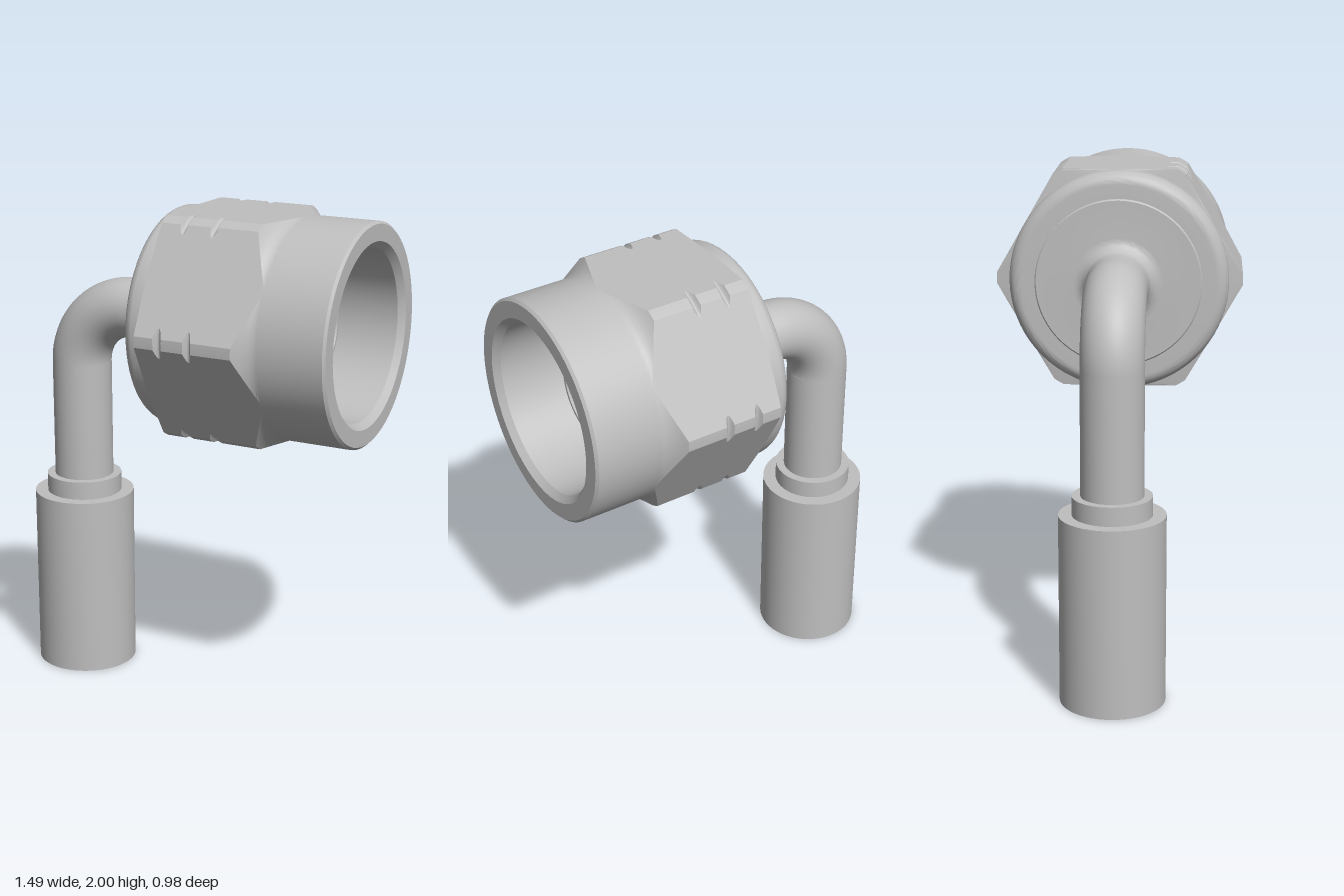
import * as THREE from 'three';
import { toCreasedNormals } from 'three/addons/utils/BufferGeometryUtils.js';

const AXIS_Y = 1.565; // height of the nut axis
const HOSE_X = -0.54; // position of the vertical leg
const TUBE_R = 0.122;
const FLAT = 0.435; // centre to hex flat
const CORNER = 0.49; // radius of the turned hex corners

const steel = new THREE.MeshStandardMaterial({ color: 0xbfbfbf });
steel.name = 'steel grey';

function part(name, geometry) {
  const mesh = new THREE.Mesh(geometry, steel);
  mesh.name = name;
  return mesh;
}

// Turned part: points are [radius, height along the axis]
function turned(name, points, alongX = false) {
  const profile = points.map(([r, h]) => new THREE.Vector2(r, h));
  const geo = toCreasedNormals(new THREE.LatheGeometry(profile, 72), 0.4);
  if (alongX) geo.rotateZ(-Math.PI / 2).translate(0, AXIS_Y, 0);
  else geo.translate(HOSE_X, 0, 0);
  return part(name, geo);
}

// Points on an arc, in [radius, height] space
function arc(cr, ch, rad, from, to, n = 10) {
  return Array.from({ length: n + 1 }, (_, i) => {
    const t = from + ((to - from) * i) / n;
    return [cr + rad * Math.cos(t), ch + rad * Math.sin(t)];
  });
}

// Hexagon intersected with a turned profile: each ring is six flats joined by arcs
function hexGeometry(profile) {
  const arcSteps = 8;
  const positions = [];
  const rings = profile.map(([R, x]) => {
    const b = Math.acos(FLAT / R);
    const ring = [];
    for (let k = 0; k < 6; k++) {
      const mid = (k * Math.PI) / 3;
      const angles = [mid - b];
      for (let i = 0; i < arcSteps; i++) {
        angles.push(mid + b + ((Math.PI / 3 - 2 * b) * i) / arcSteps);
      }
      for (const t of angles) ring.push([x, R * Math.cos(t), R * Math.sin(t)]);
    }
    return ring;
  });
  for (let i = 0; i < rings.length - 1; i++) {
    const n = rings[i].length;
    for (let j = 0; j < n; j++) {
      const a = rings[i][j], b = rings[i][(j + 1) % n];
      const c = rings[i + 1][j], d = rings[i + 1][(j + 1) % n];
      positions.push(...a, ...b, ...c, ...b, ...d, ...c);
    }
  }
  const geo = new THREE.BufferGeometry();
  geo.setAttribute('position', new THREE.Float32BufferAttribute(positions, 3));
  return toCreasedNormals(geo, 0.25).translate(0, AXIS_Y, 0);
}

// Hex profile: near-square back edge, two corner grooves, concave flare to the barrel
function hexProfile() {
  const p = [[FLAT + 0.0002, -0.02], [CORNER, -0.012]];
  for (const x of [0.085, 0.21]) {
    for (let i = -4; i <= 4; i++) {
      const u = i / 4;
      p.push([CORNER - 0.018 * (1 - u * u), x + 0.017 * u]);
    }
  }
  for (let i = 0; i <= 12; i++) {
    const s = i / 12;
    p.push([FLAT + 0.0002 + (CORNER - FLAT) * (1 - s) ** 2, 0.39 + 0.08 * s]);
  }
  return p;
}

export function createModel() {
  const model = new THREE.Group();
  model.name = 'elbow hose fitting';

  // Swivel nut
  const nut = new THREE.Group();
  nut.name = 'swivelNut';
  nut.add(
    turned('nutCollar', [
      [0.3, -0.1],
      ...arc(FLAT - 0.05, -0.05, 0.05, -Math.PI / 2, 0),
      [FLAT, -0.015],
    ], true),
    part('nutHex', hexGeometry(hexProfile())),
    turned('nutBarrel', [
      [FLAT, 0.46], [FLAT, 0.73], [0.425, 0.74], [0.36, 0.74],
      [0.335, 0.715], [0.335, 0.2], [0.1, 0.2],
    ], true),
  );

  // Domed sealing nose with a conical mouth, inside the nut
  const nose = turned('sealingNose', [
    [0.285, 0.2],
    ...arc(0, 0.31, 0.285, 0, 0.887, 12),
    [0.168, 0.531], [0.065, 0.38], [0.065, 0.25], [0, 0.21],
  ], true);

  // Flange disc blending into the horizontal tube
  const neck = turned('neckFlange', [
    [TUBE_R, -0.29],
    ...arc(TUBE_R + 0.055, -0.17, 0.055, Math.PI, Math.PI / 2),
    [0.325, -0.115], [0.33, -0.11], [0.33, -0.05],
  ], true);

  // Bend and vertical tube
  const bend = part('elbowBend',
    new THREE.TorusGeometry(0.25, TUBE_R, 48, 32, Math.PI / 2)
      .rotateZ(Math.PI / 2).translate(-0.29, AXIS_Y - 0.25, 0));
  const leg = turned('verticalTube', [[TUBE_R, 0.8], [TUBE_R, AXIS_Y - 0.25]]);

  // Crimp sleeve, hollow below, with a shoulder on top
  const sleeve = turned('crimpSleeve', [
    [0.08, 0.6], [0.18, 0.6], [0.18, 0], [0.207, 0], [0.207, 0.755],
    [0.155, 0.755], [0.155, 0.83], [0.11, 0.83],
  ]);

  // Hose stem inside the sleeve
  const stem = turned('hoseStem', [
    [0, 0.6], [0.065, 0.6], [0.065, 0], [0.08, 0], [0.1, 0.08], [0.1, 0.61],
  ]);

  model.add(nut, nose, neck, bend, leg, sleeve, stem);
  return model;
}
